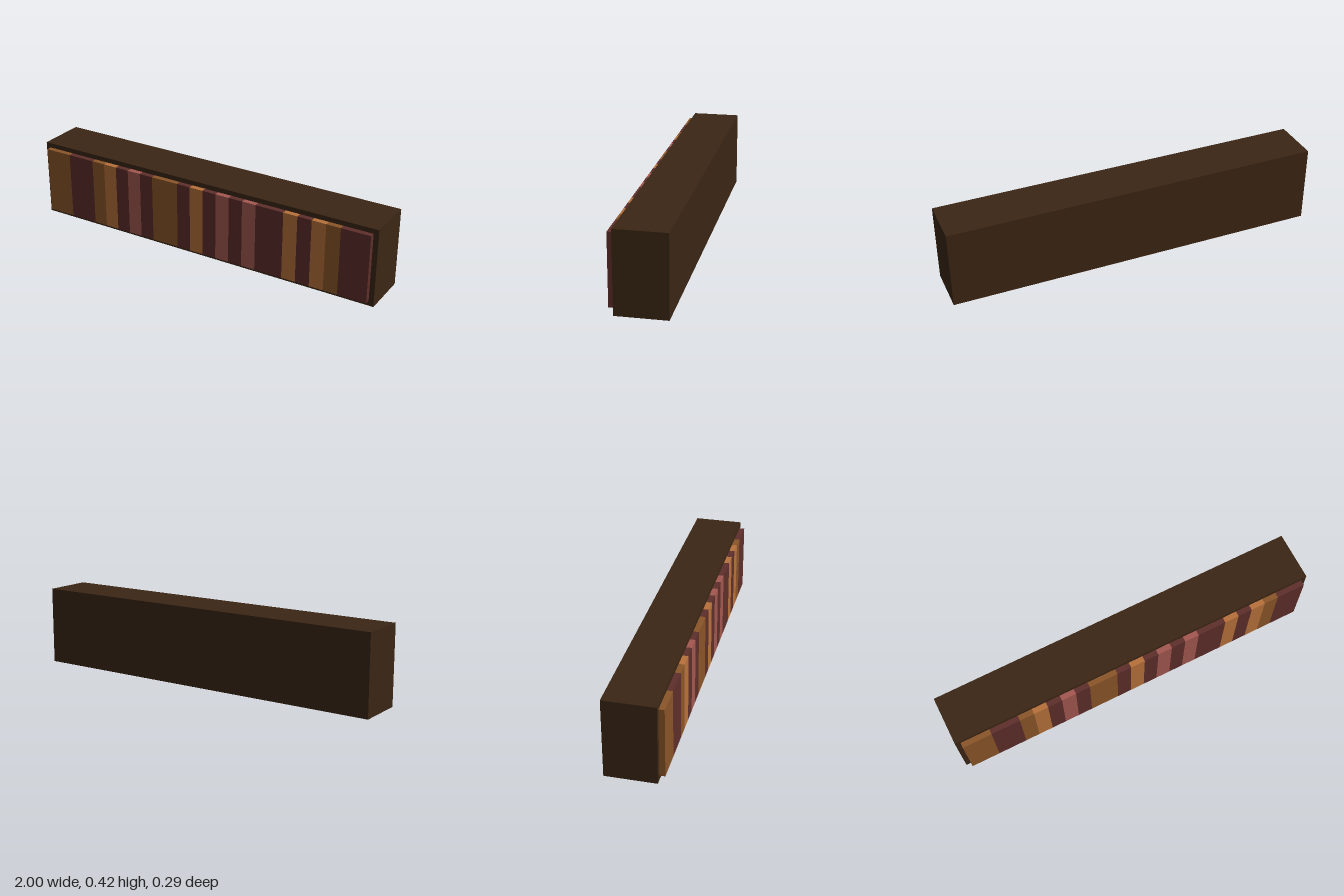
import * as THREE from 'three';

const COLORS = { b: 0x8a5529, m: 0x5e2e2a, o: 0xb8713a, p: 0xa35750 };

// One letter per slot along the shelf; neighbouring equal letters merge into one wide book
const ROW = 'bbmmbompmbbmompmpmmomobmm';

export function createModel() {
  const group = new THREE.Group();
  const materials = {};
  for (const key in COLORS) materials[key] = new THREE.MeshStandardMaterial({ color: COLORS[key] });

  const addBox = (name, material, x0, x1, y0, y1, z0, z1) => {
    const mesh = new THREE.Mesh(new THREE.BoxGeometry(x1 - x0, y1 - y0, z1 - z0), material);
    mesh.position.set((x0 + x1) / 2, (y0 + y1) / 2, (z0 + z1) / 2);
    mesh.name = name;
    group.add(mesh);
  };

  // Solid wooden case
  const wood = new THREE.MeshStandardMaterial({ color: 0x3b2614 });
  addBox('case', wood, -1, 1, 0, 0.421, -0.145, 0.116);

  // Book spines standing proud of the case front
  const left = -0.973, step = 1.946 / ROW.length;
  for (let i = 0; i < ROW.length;) {
    let end = i + 1;
    while (ROW[end] === ROW[i]) end++;
    addBox('bookSpine', materials[ROW[i]], left + i * step, left + end * step, 0.027, 0.395, 0.116, 0.145);
    i = end;
  }
  return group;
}
